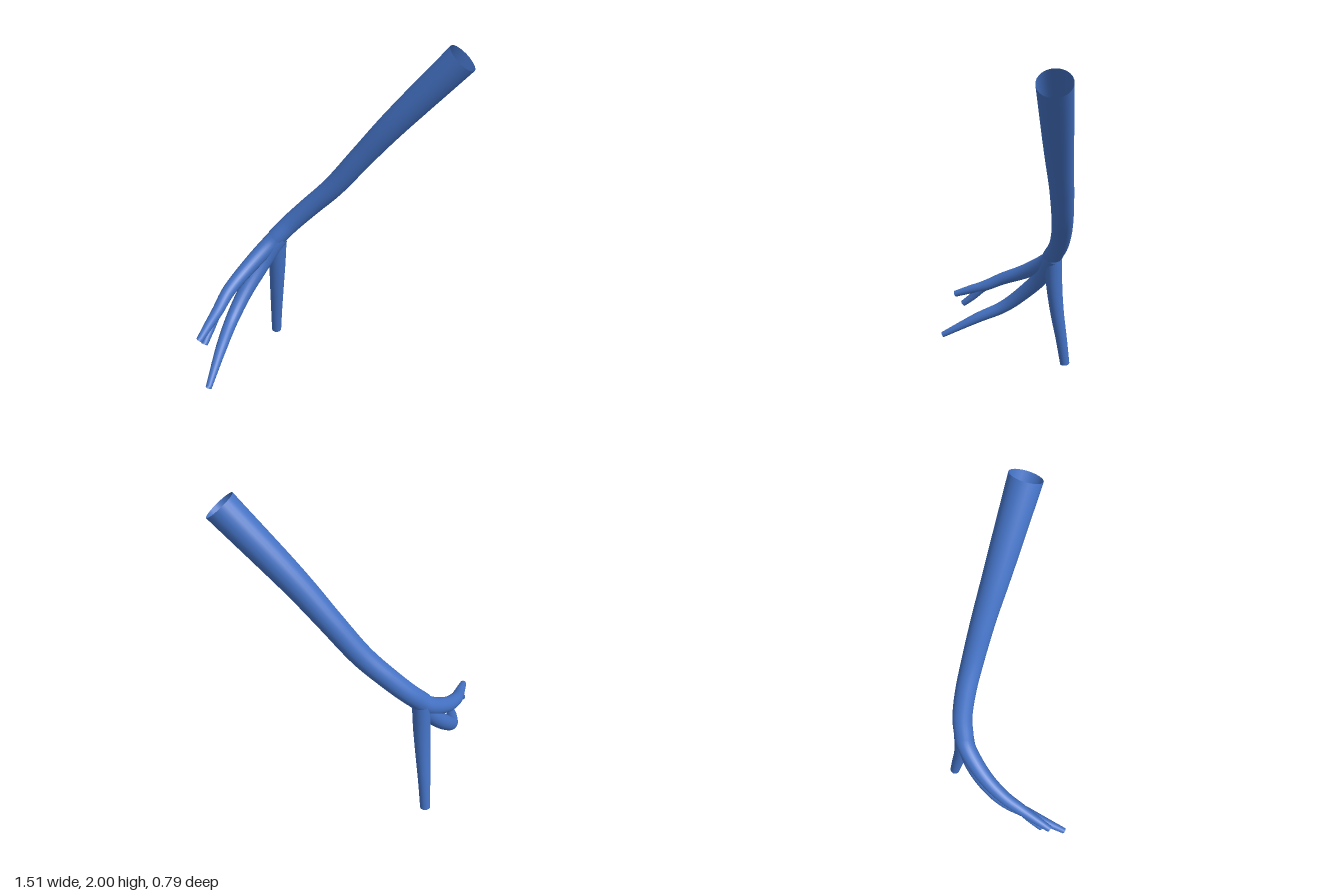
import * as THREE from 'three';

const SIDES = 24;

// Open tube along a smooth curve; radii are spread evenly along its length.
function taperedTube(name, points, radii, material) {
  const path = new THREE.CatmullRomCurve3(points.map((p) => new THREE.Vector3(...p)), false, 'centripetal');
  const steps = 48;
  const geometry = new THREE.TubeGeometry(path, steps, 1, SIDES, false);
  const position = geometry.attributes.position;
  const vertex = new THREE.Vector3();
  for (let ring = 0; ring <= steps; ring++) {
    const centre = path.getPointAt(ring / steps);
    const t = (ring / steps) * (radii.length - 1);
    const k = Math.min(Math.floor(t), radii.length - 2);
    const radius = THREE.MathUtils.lerp(radii[k], radii[k + 1], t - k);
    for (let s = 0; s <= SIDES; s++) {
      const i = ring * (SIDES + 1) + s;
      vertex.fromBufferAttribute(position, i).sub(centre).multiplyScalar(radius).add(centre);
      position.setXYZ(i, vertex.x, vertex.y, vertex.z);
    }
  }
  const mesh = new THREE.Mesh(geometry, material);
  mesh.name = name;
  return mesh;
}

export function createModel() {
  const group = new THREE.Group();
  group.name = 'branchingTube';
  const blue = new THREE.MeshStandardMaterial({ color: 0x4472c4, side: THREE.DoubleSide });
  blue.name = 'blue';

  const fork = [-0.655, 0.465, 0.11];

  group.add(
    // Wide trunk, open at the top
    taperedTube('trunk', [
      [0.68, 1.94, -0.04], [0.33, 1.52, -0.147], [0.17, 1.31, -0.2], [0.01, 1.1, -0.245],
      [-0.13, 0.955, -0.273], [-0.25, 0.835, -0.28], [-0.335, 0.75, -0.262],
    ], [0.09, 0.08, 0.068, 0.061, 0.056], blue),

    // Upper branch carrying on from the trunk, ending in a small fork
    taperedTube('upperBranch', [
      [-0.29, 0.79, -0.275], [-0.37, 0.715, -0.25], [-0.51, 0.6, -0.13], [-0.605, 0.525, 0], fork,
      [-0.695, 0.43, 0.2], [-0.737, 0.39, 0.295],
    ], [0.055, 0.05, 0.042, 0.034, 0.02], blue),
    taperedTube('upperBranchTwig', [
      [-0.635, 0.49, 0.06], [-0.665, 0.445, 0.125], [-0.695, 0.38, 0.185], [-0.722, 0.325, 0.245],
    ], [0.03, 0.026, 0.02], blue),

    // Middle branch sweeping forward
    taperedTube('middleBranch', [
      [-0.31, 0.75, -0.265], [-0.415, 0.6, -0.222], [-0.52, 0.45, -0.12], [-0.59, 0.335, 0],
      [-0.637, 0.25, 0.165], [-0.69, 0.125, 0.39],
    ], [0.05, 0.049, 0.042, 0.033, 0.018], blue),

    // Lower branch hanging down
    taperedTube('lowerBranch', [
      [-0.322, 0.745, -0.272], [-0.332, 0.57, -0.28], [-0.342, 0.385, -0.302],
      [-0.352, 0.19, -0.335], [-0.36, 0.008, -0.363],
    ], [0.052, 0.05, 0.043, 0.036, 0.03], blue),
  );
  return group;
}
